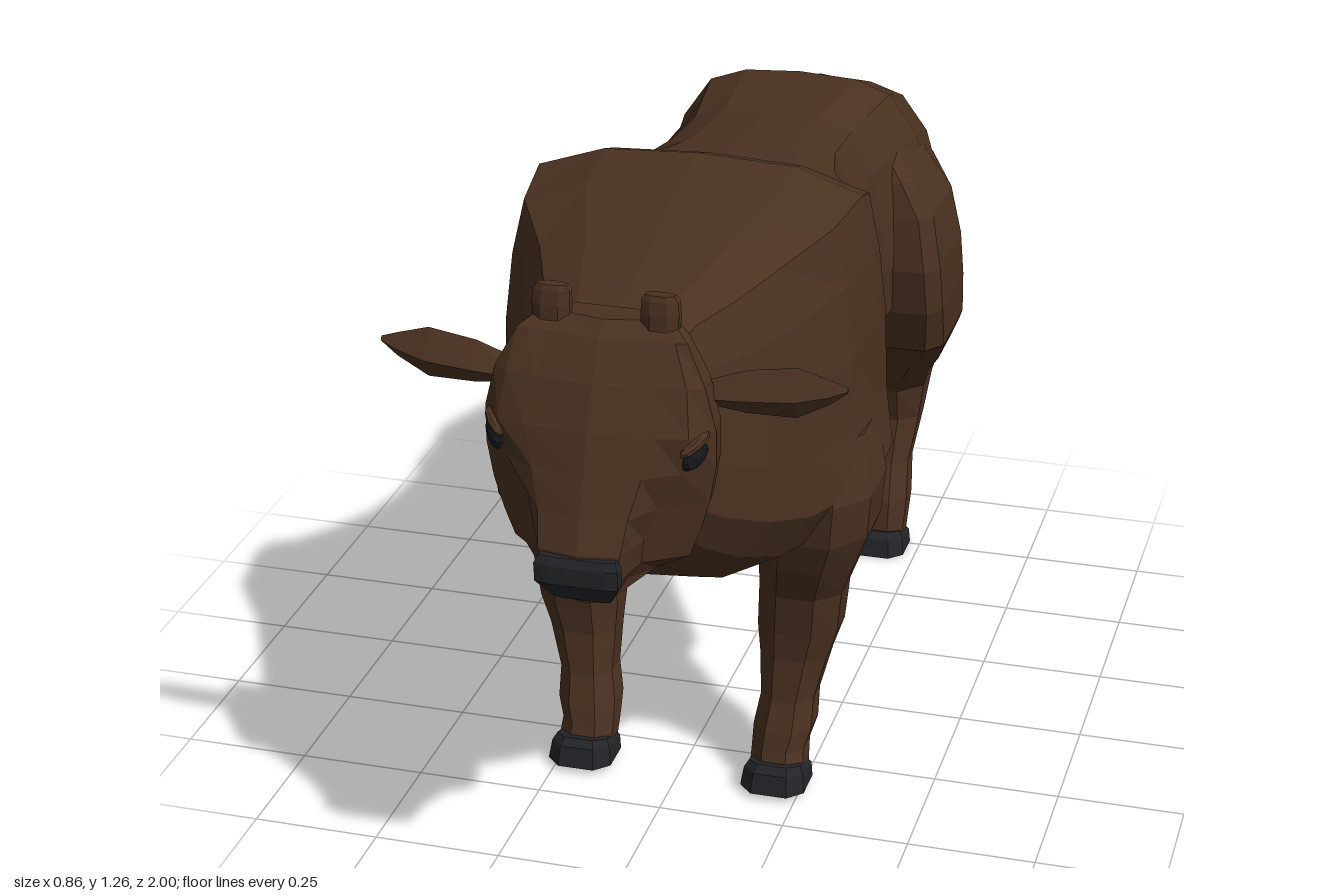
import * as THREE from 'three';

const flat = (name, color) => {
  const m = new THREE.MeshStandardMaterial({ color, flatShading: true });
  m.name = name;
  return m;
};

// Skin a list of equal-length rings of [x, y, z], close both ends, and face outwards.
function loft(rings) {
  const n = rings[0].length, pos = rings.flat(2), idx = [];
  for (let i = 0; i < rings.length - 1; i++) {
    for (let j = 0; j < n; j++) {
      const a = i * n + j, b = i * n + (j + 1) % n;
      idx.push(a, b, b + n, a, b + n, a + n);
    }
  }
  [0, rings.length - 1].forEach((r, end) => {
    const c = pos.length / 3;
    for (let k = 0; k < 3; k++) pos.push(rings[r].reduce((s, p) => s + p[k], 0) / n);
    for (let j = 0; j < n; j++) {
      const a = r * n + j, b = r * n + (j + 1) % n;
      if (end) idx.push(c, a, b); else idx.push(c, b, a);
    }
  });
  const P = i => new THREE.Vector3().fromArray(pos, i * 3);
  let volume = 0;
  for (let i = 0; i < idx.length; i += 3) volume += P(idx[i]).dot(P(idx[i + 1]).cross(P(idx[i + 2])));
  if (volume < 0) idx.reverse();
  const g = new THREE.BufferGeometry();
  g.setAttribute('position', new THREE.Float32BufferAttribute(pos, 3));
  g.setIndex(idx);
  g.computeVertexNormals();
  return g;
}

// Mirror a half outline (starting and ending on x = 0) into a full ring.
const mirrorRing = half => [...half, ...half.slice(1, -1).reverse().map(([x, y, z]) => [-x, y, z])];
const mix = THREE.MathUtils.lerp;

// Eight-sided horizontal slice: height, front z, back z, inner x, outer x, and how far
// the outline turns from a chamfered box (0) into a haunch rounded off to the rear (1).
const haunch = [[0.1, 0], [0.92, 0], [1, 0.07], [1, 0.45], [0.73, 0.86], [0.3, 1], [0, 1], [0, 0.1]];
const slice = (side, c = 0.27) => ([y, zf, zb, xi, xo, round = 0]) => {
  const box = [[c, 0], [1 - c, 0], [1, c], [1, 1 - c], [1 - c, 1], [c, 1], [0, 1 - c], [0, c]];
  return box.map(([u, v], i) => [
    side * mix(xi, xo, mix(u, haunch[i][0], round)), y, mix(zf, zb, mix(v, haunch[i][1], round))]);
};

export function createModel() {
  const coat = flat('brown coat', 0x4a3120);
  const horny = flat('dark hoof and nose', 0x222427);
  const eyeMat = flat('eye black', 0x15181d);
  const model = new THREE.Group();
  model.name = 'calf';
  const add = (name, geometry, material = coat, parent = model) => {
    const mesh = new THREE.Mesh(geometry, material);
    mesh.name = name;
    parent.add(mesh);
    return mesh;
  };

  // Torso: z, top, bottom, half width, and how square the shoulders are
  const square = [[0, 1], [0.5, 0.988], [0.85, 0.93], [0.91, 0.78], [0.95, 0.6], [0.96, 0.4], [1, 0.23], [0.82, 0.1], [0.42, 0.01], [0, 0]];
  const round = [[0, 1], [0.4, 0.988], [0.66, 0.94], [0.86, 0.79], [0.96, 0.6], [1, 0.42], [0.97, 0.23], [0.76, 0.1], [0.4, 0.015], [0, 0]];
  const torso = [
    [0.8, 1.05, 0.73, 0.13, 0], [0.77, 1.13, 0.71, 0.16, 0.2], [0.7, 1.165, 0.64, 0.195, 0.2], [0.6, 1.18, 0.57, 0.25, 0.3],
    [0.48, 1.205, 0.51, 0.3, 0.5], [0.35, 1.25, 0.5, 0.36, 0.9], [0.2, 1.265, 0.5, 0.375, 1], [0.14, 1.245, 0.51, 0.374, 1],
    [0.09, 1.2, 0.49, 0.355, 0.9], [0, 1.19, 0.49, 0.31, 0.6], [-0.1, 1.18, 0.515, 0.265, 0.35], [-0.2, 1.175, 0.565, 0.242, 0.2],
    [-0.35, 1.165, 0.585, 0.245, 0.1], [-0.45, 1.167, 0.61, 0.27, 0], [-0.58, 1.17, 0.6, 0.295, 0], [-0.77, 1.1, 0.6, 0.275, 0],
    [-0.85, 1.015, 0.6, 0.23, 0], [-0.93, 0.89, 0.62, 0.155, 0], [-0.965, 0.82, 0.66, 0.09, 0],
  ];
  add('torso', loft(torso.map(([z, top, bottom, w, s]) => mirrorRing(round.map(([u, v], i) =>
    [w * mix(u, square[i][0], s), mix(bottom, top, mix(v, square[i][1], s)), z])))));

  // Tail merging into the rump as a low ridge: y, front z, back z, half width
  add('tail', loft([
    [1.1, -0.74, -0.775, 0.09], [1.03, -0.78, -0.842, 0.09], [0.94, -0.82, -0.905, 0.085],
    [0.83, -0.88, -0.97, 0.075], [0.76, -0.91, -0.988, 0.06], [0.7, -0.94, -1.0, 0.05],
  ].map(([y, zf, zb, w]) => mirrorRing([[0, y, zb], [w, y, zb + 0.03], [w, y, zf], [0, y, zf]]))));

  // Legs: y, front z, back z, inner x, outer x, haunch
  const frontLeg = [
    [0.78, 0.4, 0.14, 0.18, 0.358], [0.66, 0.425, 0.14, 0.17, 0.38], [0.57, 0.415, 0.15, 0.16, 0.372],
    [0.5, 0.39, 0.165, 0.155, 0.345], [0.42, 0.35, 0.185, 0.15, 0.315], [0.33, 0.335, 0.19, 0.145, 0.305],
    [0.27, 0.33, 0.205, 0.15, 0.285], [0.18, 0.34, 0.22, 0.155, 0.262], [0.12, 0.36, 0.23, 0.145, 0.262],
    [0.08, 0.37, 0.25, 0.145, 0.25], [0.03, 0.385, 0.285, 0.145, 0.255],
  ];
  const hindLeg = [
    [1.08, -0.47, -0.74, 0.02, 0.21, 1], [1.0, -0.42, -0.83, 0.02, 0.28, 1], [0.93, -0.4, -0.885, 0.02, 0.325, 1],
    [0.82, -0.385, -0.945, 0.01, 0.345, 1], [0.72, -0.4, -0.96, 0.015, 0.35, 1], [0.62, -0.44, -0.95, 0.03, 0.345, 0.9],
    [0.57, -0.54, -0.935, 0.035, 0.325, 0.7], [0.5, -0.62, -0.935, 0.04, 0.295, 0.4], [0.44, -0.68, -0.97, 0.045, 0.26, 0.3],
    [0.38, -0.74, -0.94, 0.055, 0.24], [0.3, -0.76, -0.89, 0.08, 0.23], [0.2, -0.735, -0.84, 0.095, 0.215],
    [0.12, -0.7, -0.82, 0.095, 0.22], [0.03, -0.69, -0.785, 0.105, 0.215],
  ];
  // Hoof wedge, higher at the toe than at the heel
  const hoof = (z, x) => [
    [0.056, z + 0.115, z + 0.01, x - 0.052, x + 0.052], [0.04, z + 0.13, z, x - 0.06, x + 0.06],
    [0, z + 0.14, z + 0.01, x - 0.065, x + 0.065],
  ];
  for (const [label, rings, hz, hx, lift] of [['front', frontLeg, 0.28, 0.2, 0.012], ['hind', hindLeg, -0.8, 0.16, 0]]) {
    for (const side of [1, -1]) {
      const leg = new THREE.Group();
      leg.name = label + (side > 0 ? 'LeftLeg' : 'RightLeg');
      model.add(leg);
      add('leg', loft(rings.map(slice(side))), coat, leg);
      const wedge = hoof(hz, hx).map(slice(side, 0.22))
        .map(ring => ring.map(([x, y, z]) => [x, y * (0.5 + 4 * (z - hz)), z]));
      add('hoof', loft(wedge), horny, leg).position.y = lift;
      // Dewclaws behind the fetlock
      for (const dx of [-0.03, 0.03]) {
        const claw = add('dewclaw', new THREE.CylinderGeometry(0.008, 0.022, 0.05, 5), coat, leg);
        claw.position.set(side * hx + dx, 0.115, hz - 0.035);
        claw.rotation.x = -2.1;
      }
    }
  }

  // Head: y, front z, back z, front half width, cheek front x and z, half width
  const head = new THREE.Group();
  head.name = 'head';
  model.add(head);
  const skull = [
    [1.175, 0.81, 0.75, 0.07, 0.1, 0.795, 0.12], [1.15, 0.84, 0.72, 0.09, 0.135, 0.825, 0.155],
    [1.08, 0.882, 0.7, 0.11, 0.165, 0.86, 0.192], [1.0, 0.915, 0.7, 0.12, 0.175, 0.885, 0.212],
    [0.93, 0.938, 0.71, 0.1, 0.16, 0.885, 0.212], [0.86, 0.963, 0.72, 0.082, 0.12, 0.89, 0.2],
    [0.8, 0.988, 0.73, 0.075, 0.095, 0.895, 0.182], [0.75, 0.985, 0.76, 0.072, 0.088, 0.89, 0.163],
    [0.718, 0.958, 0.83, 0.058, 0.065, 0.89, 0.1], [0.688, 0.948, 0.91, 0.04, 0.045, 0.93, 0.045],
  ];
  add('skull', loft(skull.map(([y, zf, zb, fw, mx, mz, w]) => {
    const cheek = Math.max(zb, Math.min(0.84, mz - 0.005)), jaw = Math.max(zb, Math.min(0.78, cheek));
    return mirrorRing([[0, y, zf], [fw, y, zf - 0.014], [mx, y, mz], [w, y, cheek], [w * 0.96, y, jaw], [w * 0.7, y, zb], [0, y, zb]]);
  })), coat, head);
  add('nose', loft([
    [0.795, 0.992, 0.965, -0.07, 0.07], [0.78, 1.0, 0.965, -0.077, 0.077],
    [0.745, 1.0, 0.96, -0.076, 0.076], [0.7, 0.962, 0.935, -0.052, 0.052],
  ].map(slice(1, 0.15))), horny, head);

  // Ears: x, top y, bottom y, z, thickness
  const ear = [
    [0.17, 1.06, 1.02, 0.775, 0.025], [0.25, 1.09, 1.012, 0.778, 0.03], [0.34, 1.105, 1.013, 0.778, 0.026],
    [0.4, 1.088, 1.045, 0.775, 0.014], [0.43, 1.078, 1.068, 0.772, 0.005],
  ];
  for (const side of [1, -1]) {
    const prefix = side > 0 ? 'left' : 'right';
    add(prefix + 'Ear', loft(ear.map(([x, t, b, z, d]) => [
      [x * side, t, z - d * 0.3], [x * side, mix(b, t, 0.5), z - d], [x * side, b, z], [x * side, mix(b, t, 0.4), z + d * 0.8],
    ])), coat, head);
    add(prefix + 'HornBud', loft([
      [1.14, 0.812, 0.77, 0.065, 0.13], [1.19, 0.81, 0.772, 0.065, 0.135],
      [1.215, 0.806, 0.774, 0.065, 0.132], [1.225, 0.802, 0.78, 0.072, 0.125],
    ].map(slice(side))), coat, head);
    const eye = add(prefix + 'Eye', new THREE.SphereGeometry(1, 8, 6), eyeMat, head);
    eye.scale.set(0.031, 0.017, 0.012);
    eye.position.set(side * 0.184, 0.962, 0.877);
    eye.rotation.set(0, side * 0.85, side * -0.6);
    eye.rotation.z = side * 0.6;
    const brow = add(prefix + 'Brow', new THREE.SphereGeometry(1, 8, 5), coat, head);
    brow.scale.set(0.036, 0.011, 0.014);
    brow.position.set(side * 0.183, 0.985, 0.874);
    brow.rotation.set(0, side * 0.85, side * 0.5);
  }
  return model;
}
